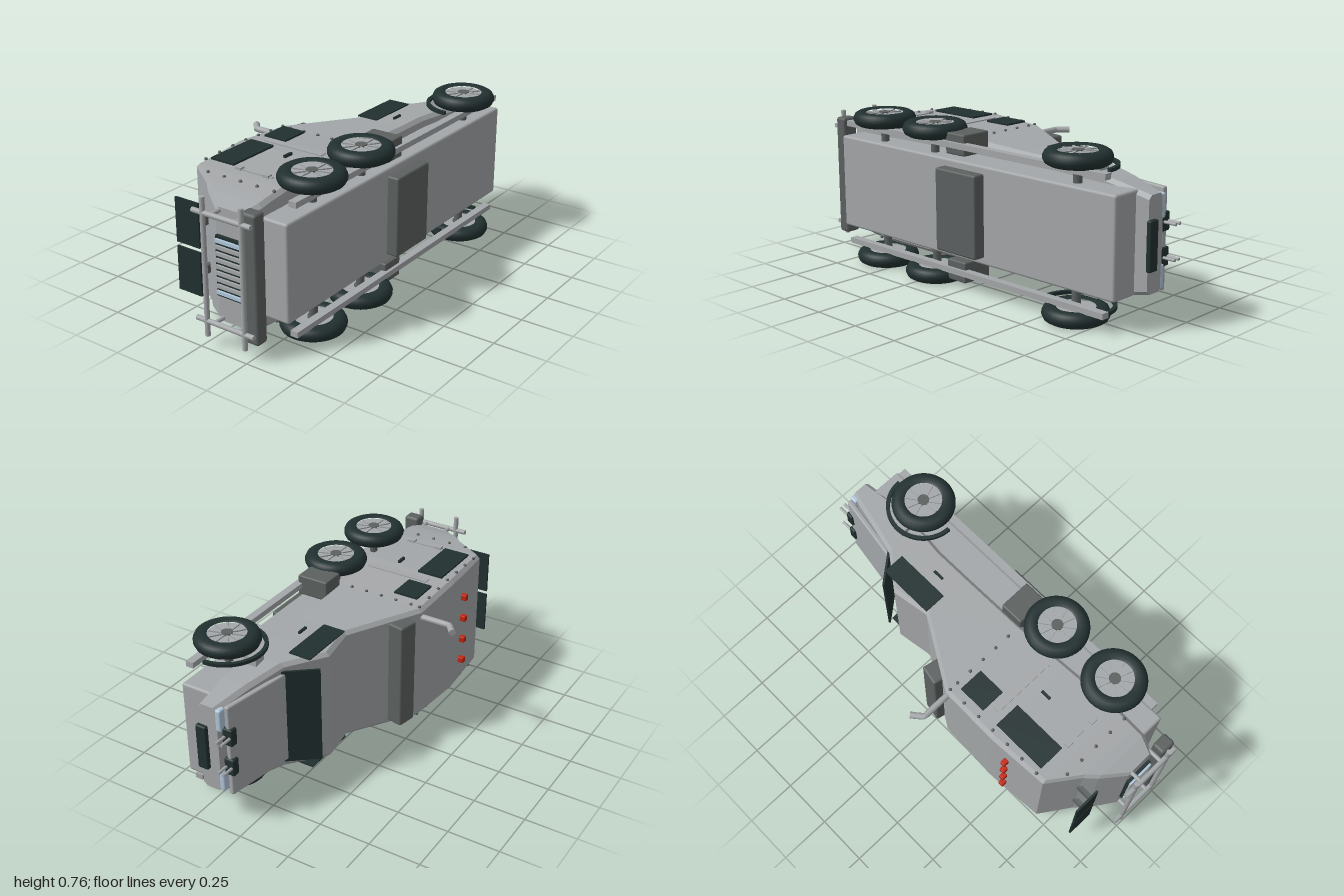
import * as THREE from 'three';
import { RoundedBoxGeometry } from 'three/addons/geometries/RoundedBoxGeometry.js';

const mat = (name, color) => Object.assign(new THREE.MeshStandardMaterial({ color }), { name });

export function createModel() {
  const grey = mat('armour grey', 0xa4a7a9);
  const dark = mat('dark grey', 0x5c6160);
  const black = mat('rubber and glass', 0x223030);
  const red = mat('beacon red', 0xc22410);
  const blue = mat('lamp blue', 0xb2c9dd);

  // Truck is built upright (x forward, y up, z sideways), then laid on its side
  const truck = new THREE.Group();
  truck.name = 'truck';
  const add = (name, geo, m, x = 0, y = 0, z = 0, parent = truck) => {
    const mesh = new THREE.Mesh(geo, m);
    mesh.name = name;
    mesh.position.set(x, y, z);
    parent.add(mesh);
    return mesh;
  };
  // Box given by its x, y and z ranges
  const box = (name, m, x0, x1, y0, y1, z0, z1, r = 0) => {
    const w = x1 - x0, h = y1 - y0, d = z1 - z0;
    const geo = r ? new RoundedBoxGeometry(w, h, d, 2, r) : new THREE.BoxGeometry(w, h, d);
    return add(name, geo, m, (x0 + x1) / 2, (y0 + y1) / 2, (z0 + z1) / 2);
  };
  const rod = (name, m, a, b, r) => {
    const A = new THREE.Vector3(...a), B = new THREE.Vector3(...b);
    const mesh = add(name, new THREE.CylinderGeometry(r, r, A.distanceTo(B), 14), m);
    mesh.position.copy(A).lerp(B, 0.5);
    mesh.quaternion.setFromUnitVectors(new THREE.Vector3(0, 1, 0), B.sub(A).normalize());
    return mesh;
  };
  const sides = [1, -1];

  // Armoured hull: x, bottom, top, half width
  const stations = [
    [-0.93, -0.2, -0.05, 0.265], [-0.85, -0.23, 0.06, 0.288], [-0.8, -0.23, 0.11, 0.296],
    [-0.7, -0.23, 0.255, 0.306], [-0.4, -0.21, 0.275, 0.314], [-0.1, -0.2, 0.265, 0.296],
    [0.235, -0.2, 0.065, 0.283], [0.42, -0.2, 0.095, 0.281], [0.59, -0.22, -0.03, 0.274],
    [0.78, -0.23, -0.08, 0.25], [0.95, -0.22, -0.125, 0.215],
  ];
  const half = (x) => {
    const i = Math.max(1, stations.findIndex((s) => s[0] >= x));
    const [a, b] = [stations[i - 1], stations[i]];
    return a[3] + (b[3] - a[3]) * (x - a[0]) / (b[0] - a[0]);
  };
  const rings = stations.map(([x, b, t, w]) => {
    const c = 0.018;
    const right = [[w - c, t], [w, t - c], [w, b + c], [w - c, b]];
    return [...right, ...right.map(([z, y]) => [-z, y]).reverse()].map(([z, y]) => [x, y, z]);
  });
  const pos = [];
  const n = rings[0].length;
  const last = rings.length - 1;
  for (let i = 0; i < last; i++) {
    for (let j = 0; j < n; j++) {
      const k = (j + 1) % n;
      const [a, b, c, d] = [rings[i][j], rings[i][k], rings[i + 1][k], rings[i + 1][j]];
      pos.push(...a, ...b, ...d, ...b, ...c, ...d);
    }
  }
  for (let j = 1; j < n - 1; j++) {
    pos.push(...rings[last][0], ...rings[last][j], ...rings[last][j + 1]);
    pos.push(...rings[0][0], ...rings[0][j + 1], ...rings[0][j]);
  }
  const hull = new THREE.BufferGeometry();
  hull.setAttribute('position', new THREE.Float32BufferAttribute(pos, 3));
  hull.computeVertexNormals();
  add('hull', hull, grey);

  // Chassis, belly tank, rear bumper
  box('chassis', grey, -0.85, 0.885, -0.357, -0.19, -0.23, 0.23, 0.012);
  box('bellyTank', dark, -0.12, 0.135, -0.415, -0.35, -0.195, 0.195, 0.01);
  box('rearBumper', dark, -0.975, -0.91, -0.295, -0.215, -0.298, 0.298, 0.014);

  // Rear guard frame
  for (const y of [-0.03, -0.235]) rod('guardBar', grey, [-0.988, y, -0.322], [-0.988, y, 0.322], 0.012);
  for (const s of sides) {
    rod('guardPost', grey, [-0.988, -0.285, s * 0.25], [-0.988, 0.025, s * 0.25], 0.012);
    for (const y of [-0.07, -0.2]) rod('guardMount', grey, [-0.988, y, s * 0.25], [-0.91, y, s * 0.25], 0.01);
  }

  // Rear louvre and rear windows
  box('louvrePlate', black, -0.945, -0.928, -0.2, -0.055, -0.14, 0.14);
  for (let i = 0; i < 9; i++) {
    const z = -0.12 + i * 0.03;
    box('louvreSlat', i % 8 ? grey : blue, -0.955, -0.94, -0.195, -0.06, z - 0.008, z + 0.008);
  }
  for (const s of sides) {
    box('rearWindow', black, -0.885, -0.875, 0.09, 0.22, s * 0.115 - 0.105, s * 0.115 + 0.105);
    box('rearWindowMount', dark, -0.878, -0.75, 0.1, 0.12, s * 0.115 - 0.02, s * 0.115 + 0.02);
  }

  // Wheel: tyre, rim, spokes and hub, facing +z
  const r = 0.15, hw = 0.034;
  const tyreGeo = new THREE.LatheGeometry([
    [0.088, -hw + 0.006], [0.1, -hw], [0.125, -hw], [0.142, -hw * 0.7], [r, -hw * 0.2],
    [r, hw * 0.2], [0.142, hw * 0.7], [0.125, hw], [0.1, hw], [0.088, hw - 0.006],
  ].map((p) => new THREE.Vector2(...p)), 40).rotateX(Math.PI / 2);
  const disc = (rad, w) => new THREE.CylinderGeometry(rad, rad, w, 32).rotateX(Math.PI / 2);
  for (const x of [-0.597, -0.242, 0.63]) {
    for (const s of sides) {
      const wheel = new THREE.Group();
      wheel.name = 'wheel';
      wheel.position.set(x, -0.295, s * 0.344);
      if (s < 0) wheel.rotation.y = Math.PI;
      truck.add(wheel);
      add('tyre', tyreGeo, black, 0, 0, 0, wheel);
      add('rim', disc(0.09, 0.044), grey, 0, 0, 0, wheel);
      add('hub', disc(0.027, 0.062), dark, 0, 0, 0, wheel);
      for (let i = 0; i < 10; i++) {
        const spoke = add('spoke', new THREE.BoxGeometry(0.06, 0.012, 0.01).translate(0.055, 0, 0), grey, 0, 0, 0.023, wheel);
        spoke.rotation.z = i * Math.PI / 5;
      }
    }
    rod('axle', dark, [x, -0.295, -0.33], [x, -0.295, 0.33], 0.02);
  }

  // Front mudguard arch
  const arch = new THREE.Shape();
  arch.absarc(0, 0, 0.178, 0, Math.PI, false);
  arch.absarc(0, 0, 0.16, Math.PI, 0, true);
  const archGeo = new THREE.ExtrudeGeometry(arch, { depth: 0.016, bevelEnabled: false, curveSegments: 24 });

  for (const s of sides) {
    // Plate on the flank: x range, y range
    const plate = (name, m, x0, x1, y0, y1, t = 0.009, r = 0) => {
      const z = Math.max(half(x0), half(x1)) + 0.002;
      const [a, b] = [s * z, s * (z + t)].sort((p, q) => p - q);
      return box(name, m, x0, x1, y0, y1, a, b, r);
    };
    const span = (a, b) => [s * a, s * b].sort((p, q) => p - q);
    box('sideRail', grey, -0.8, 0.835, -0.365, -0.327, ...span(0.285, 0.312));
    box('sideTank', dark, -0.115, 0.005, -0.35, -0.19, ...span(0.25, 0.35), 0.008);
    add('mudguard', archGeo, black, 0.63, -0.295, s > 0 ? 0.303 : -0.319);
    box('mudguardBracket', grey, 0.6, 0.66, -0.19, -0.125, ...span(0.24, 0.305));
    plate('sideWindow', black, -0.65, -0.375, 0.087, 0.217);
    plate('sideWindow', black, -0.285, -0.145, 0.09, 0.212);
    plate('cabWindow', black, 0.24, 0.52, -0.05, 0.06, 0.006);
    plate('doorHandle', black, -0.455, -0.405, -0.042, -0.03, 0.012);
    plate('doorHandle', black, 0.305, 0.36, -0.111, -0.1, 0.01);
    plate('doorStrip', grey, -0.66, -0.645, -0.13, 0.06, 0.005);
    plate('doorStrip', grey, -0.34, -0.305, -0.15, 0.17, 0.005);
    for (const y of [0.05, -0.1]) plate('hinge', grey, -0.667, -0.64, y - 0.016, y + 0.016, 0.012);

    // Rivets along the roof edge and both pillars
    const spots = [];
    for (let i = 0; i < 7; i++) spots.push([-0.65 + i * 0.09, 0.245]);
    for (let i = 0; i < 5; i++) spots.push([-0.745, 0.15 - i * 0.09], [-0.11, 0.2 - i * 0.08]);
    for (const [x, y] of spots) add('rivet', new THREE.SphereGeometry(0.008, 8, 6), dark, x, y, s * (half(x) + 0.002));

    // Headlamp and twin-rod tow clamp
    box('headlamp', blue, 0.91, 0.952, -0.134, -0.104, ...span(0.1, 0.21), 0.01);
    box('towClamp', black, 0.9, 0.94, -0.11, -0.058, ...span(0.035, 0.12), 0.008);
    for (const y of [-0.07, -0.098]) rod('towRod', grey, [0.92, y, s * 0.078], [1, y, s * 0.078], 0.007);
  }

  // Nose grille, raised bonnet panel and windscreen
  box('grille', black, 0.945, 0.97, -0.23, -0.175, -0.112, 0.112, 0.008);
  const bonnet = box('bonnetPanel', grey, 0.585, 0.935, -0.072, -0.046, -0.228, 0.228, 0.008);
  bonnet.rotation.z = -0.16;
  const screen = add('windscreen', new THREE.BoxGeometry(0.172, 0.01, 0.48), black, 0.548, 0.03, 0);
  screen.rotation.z = -0.89;

  // Tilted box on the sloped front of the rear body
  const roofBox = add('slopeBox', new RoundedBoxGeometry(0.1, 0.1, 0.535, 2, 0.01), dark, 0.005, 0.215, 0);
  roofBox.rotation.z = -0.2;

  // Roof beacons
  for (const z of [0.177, 0.06, -0.06, -0.18]) box('beacon', red, -0.508, -0.482, 0.268, 0.298, z - 0.015, z + 0.015, 0.004);

  // Exhaust stack
  const path = new THREE.CurvePath();
  const p = [[-0.108, 0.1], [-0.108, 0.405], [-0.06, 0.445]].map(([x, y]) => new THREE.Vector3(x, y, 0.25));
  path.add(new THREE.LineCurve3(p[0], p[1]));
  path.add(new THREE.LineCurve3(p[1], p[2]));
  add('exhaust', new THREE.TubeGeometry(path, 24, 0.015, 14), grey);
  rod('exhaustTip', grey, [-0.075, 0.432, 0.25], [-0.059, 0.446, 0.25], 0.0155);

  truck.rotation.x = -Math.PI / 2;
  truck.position.y = 0.378;
  const model = new THREE.Group();
  model.add(truck);
  return model;
}
